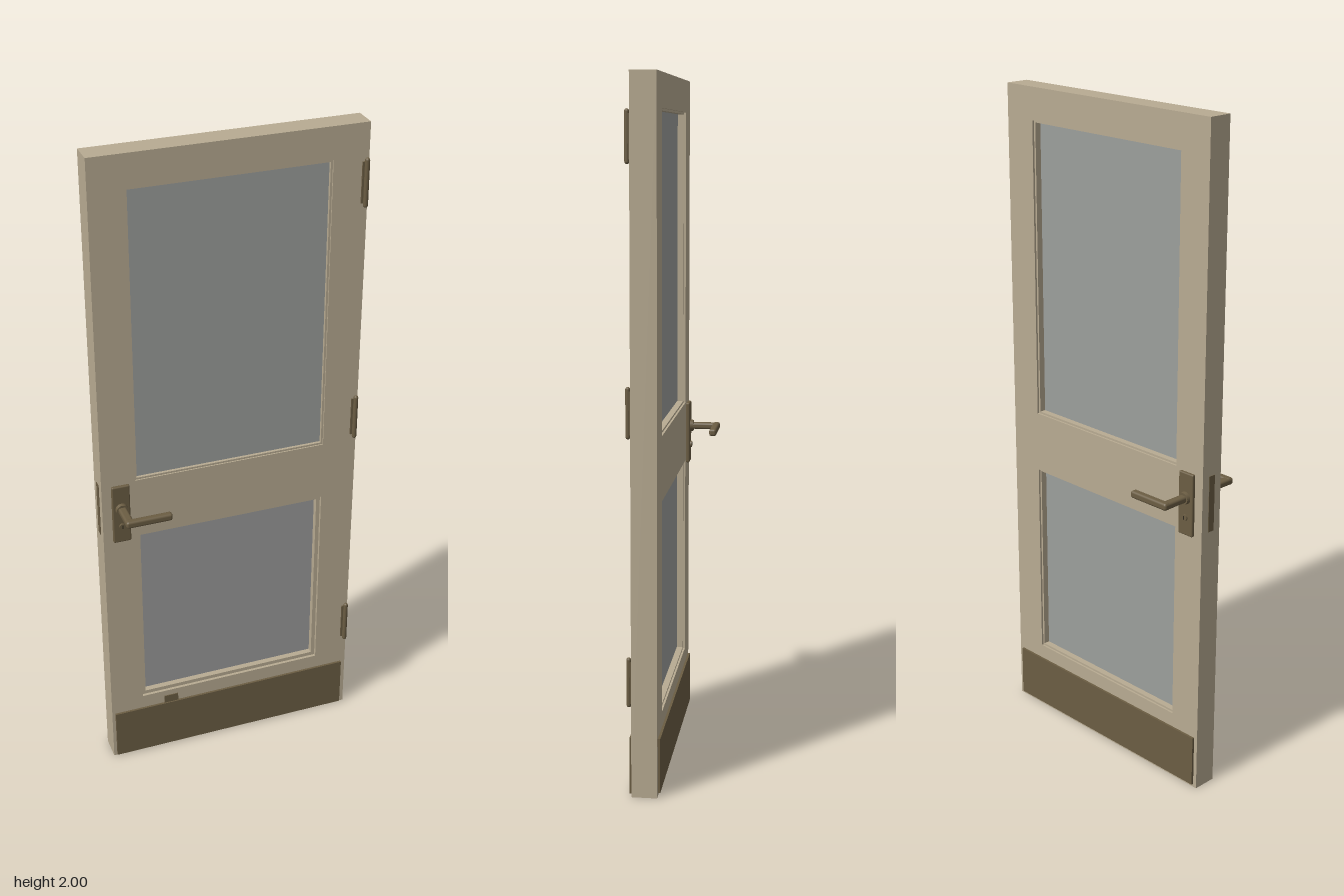
import * as THREE from 'three';
import { RoundedBoxGeometry } from 'three/addons/geometries/RoundedBoxGeometry.js';

const mat = (name, color) => Object.assign(new THREE.MeshStandardMaterial({ color }), { name });

const FRONT = 0.033, BACK = -0.04;

// Rectangle outline from left, right, bottom, top
function rect(Type, [l, r, b, t]) {
  return new Type([[l, b], [r, b], [r, t], [l, t]].map(p => new THREE.Vector2(...p)));
}

export function createModel() {
  const door = new THREE.Group();
  door.name = 'door';
  const wood = mat('paintedWood', 0xb8ab92);
  const metal = mat('bronze', 0x6b5d43);
  const dark = mat('keyholeDark', 0x2e281d);
  const glass = mat('glass', 0x9c9f9c);
  const greyGlass = mat('greyGlass', 0x9b9b9b);

  function add(parent, name, geometry, material, x = 0, y = 0, z = 0) {
    const mesh = new THREE.Mesh(geometry, material);
    mesh.name = name;
    mesh.position.set(x, y, z);
    parent.add(mesh);
    return mesh;
  }
  const box = (parent, name, material, [l, r, b, t], z0, z1) =>
    add(parent, name, new THREE.BoxGeometry(r - l, t - b, z1 - z0), material,
      (l + r) / 2, (b + t) / 2, (z0 + z1) / 2);

  // Outline with holes, extruded between two depths
  function panel(name, outer, holes, z0, z1) {
    const shape = rect(THREE.Shape, outer);
    shape.holes = holes.map(h => rect(THREE.Path, h));
    const geo = new THREE.ExtrudeGeometry(shape, { depth: z1 - z0, bevelEnabled: false });
    return add(door, name, geo, wood, 0, 0, z0);
  }
  const inset = ([l, r, b, t], d) => [l + d, r - d, b + d, t - d];

  // Frame with two window openings
  const upper = [-0.295, 0.29, 1.015, 1.905];
  const lower = [-0.295, 0.29, 0.215, 0.83];
  panel('frame', [-0.397, 0.395, 0, 2], [upper, lower], BACK, FRONT);

  // Glazing beads and panes
  panel('upperFrontBead', upper, [inset(upper, 0.006)], 0.02, 0.029);
  panel('upperBackBead', upper, [inset(upper, 0.006)], -0.034, -0.015);
  panel('lowerFrontBead', lower, [inset(lower, 0.012)], 0.004, 0.024);
  panel('lowerBackBead', lower, [inset(lower, 0.006)], -0.034, -0.015);
  box(door, 'upperPane', glass, upper, -0.015, 0.02);
  box(door, 'lowerPane', glass, lower, -0.015, 0.002);
  box(door, 'lowerFrontPane', greyGlass, lower, 0.002, 0.006);

  // Kick plates
  box(door, 'frontKickPlate', metal, [-0.387, 0.38, 0.005, 0.17], FRONT, 0.04);
  box(door, 'backKickPlate', metal, [-0.385, 0.38, 0.01, 0.17], -0.047, BACK);
  box(door, 'plateClip', metal, [-0.225, -0.18, 0.17, 0.196], FRONT, 0.036);

  // Hinges: leaf, barrel and end caps
  for (const y of [0.335, 1.095, 1.83]) {
    const hinge = new THREE.Group();
    hinge.name = 'hinge';
    hinge.position.set(0.387, y, 0.04);
    door.add(hinge);
    add(hinge, 'hingeLeaf', new THREE.BoxGeometry(0.018, 0.12, 0.004), metal, -0.003, 0, -0.005);
    add(hinge, 'hingeBarrel', new THREE.CylinderGeometry(0.007, 0.007, 0.13, 16), metal);
    for (const s of [-1, 1])
      add(hinge, 'hingeCap', new THREE.SphereGeometry(0.007, 12, 8), metal, 0, s * 0.065, 0);
  }

  // Handle sets on both faces, side = 1 for front and -1 for back
  for (const side of [1, -1]) {
    const handle = new THREE.Group();
    handle.name = side > 0 ? 'frontHandle' : 'backHandle';
    handle.position.set(-0.342, 0.935, side > 0 ? FRONT : BACK);
    door.add(handle);
    add(handle, 'backplate', new RoundedBoxGeometry(0.054, 0.19, 0.012, 3, 0.004), metal, 0, -0.02, side * 0.005);
    const collar = add(handle, 'collar', new THREE.CylinderGeometry(0.017, 0.019, 0.012, 24), metal, 0, 0, side * 0.015);
    collar.rotation.x = side * Math.PI / 2;
    add(handle, 'neck', new RoundedBoxGeometry(0.025, 0.02, 0.09, 3, 0.007), metal, 0, 0, side * 0.059);
    add(handle, 'lever', new RoundedBoxGeometry(0.138, 0.022, 0.022, 3, 0.007), metal, 0.057, 0, side * 0.093);
    // Lock cylinder with keyhole
    const lock = add(handle, 'lockCylinder', new THREE.CylinderGeometry(0.01, 0.01, 0.008, 20), metal, 0, -0.06, side * 0.012);
    lock.rotation.x = Math.PI / 2;
    add(handle, 'keyhole', new THREE.BoxGeometry(0.003, 0.011, 0.002), dark, 0, -0.06, side * 0.016);
  }
  // Latch faceplate on the leading edge
  add(door, 'latchPlate', new THREE.BoxGeometry(0.003, 0.17, 0.022), metal, -0.397, 0.92, -0.0035);

  return door;
}
